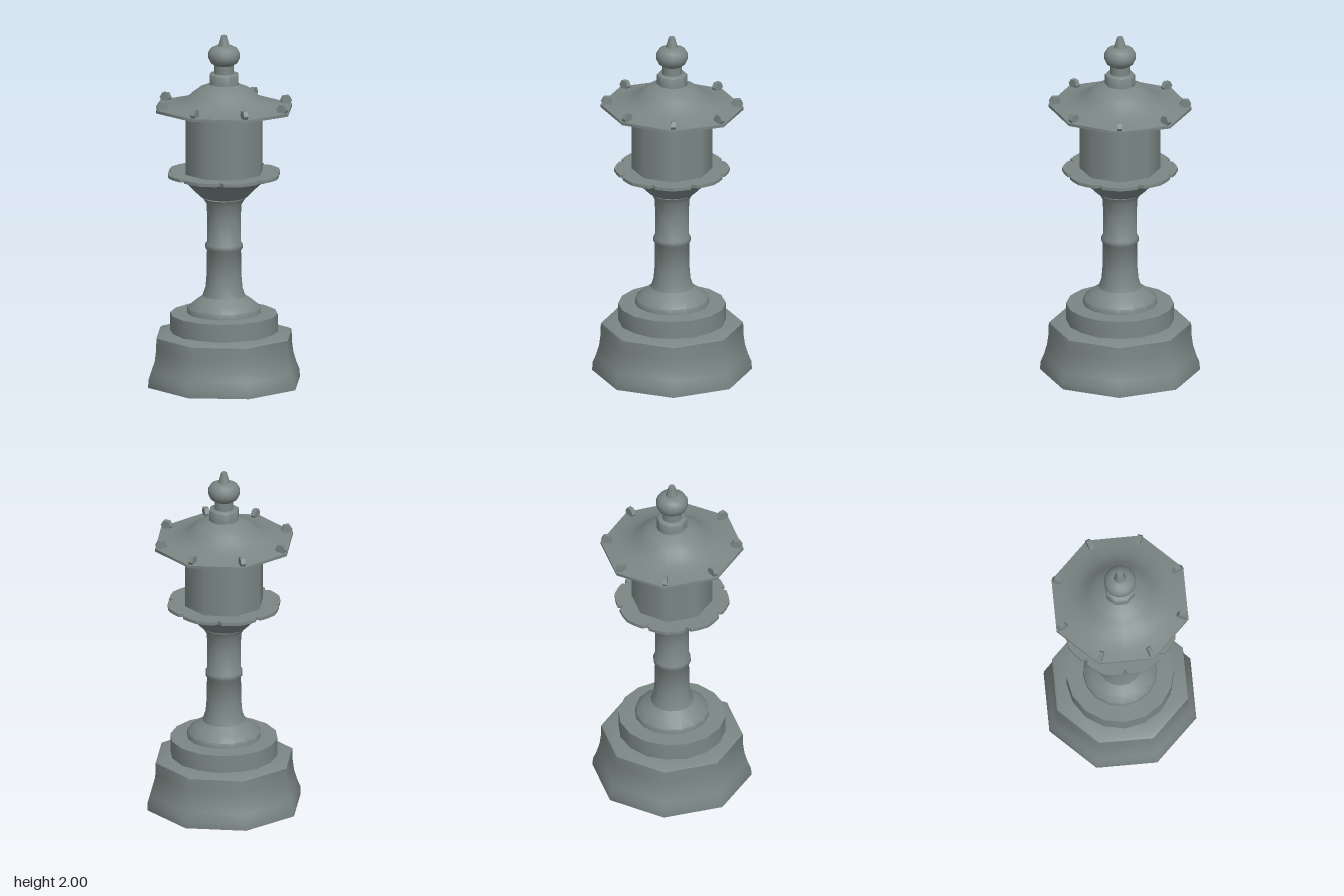
import * as THREE from 'three';
import { toCreasedNormals } from 'three/addons/utils/BufferGeometryUtils.js';

const TURN = -11.5 * Math.PI / 180; // direction of the first octagon corner
const EIGHTH = Math.PI / 4;

export function createModel() {
  const group = new THREE.Group();
  const stone = new THREE.MeshStandardMaterial({ color: 0x7b8785, side: THREE.DoubleSide });
  stone.name = 'greyStone';

  const add = (name, geometry, parent = group) => {
    const mesh = new THREE.Mesh(geometry, stone);
    mesh.name = name;
    parent.add(mesh);
    return mesh;
  };
  // Turned part from [radius, height] pairs, listed bottom to top
  const turned = (profile, sides) => new THREE.LatheGeometry(
    profile.map(([r, y]) => new THREE.Vector2(r, y)), sides, TURN);
  const creased = (geometry) => toCreasedNormals(geometry, 0.85);

  // Hollow flared octagonal base, open underneath
  add('base', creased(turned([
    [0.449, 0], [0.447, 0.045], [0.428, 0.09], [0.41, 0.15], [0.402, 0.21],
    [0.4, 0.28], [0.385, 0.288], [0.305, 0.3]], 8)));

  // Round steps on the base
  add('lowerStep', creased(turned([[0.303, 0.295], [0.303, 0.4], [0.21, 0.405]], 16)));
  add('upperStep', creased(turned([
    [0.21, 0.4], [0.207, 0.435], [0.165, 0.47], [0.13, 0.495], [0.118, 0.505]], 16)));

  // Column with a slim band at mid-height
  add('column', creased(turned([
    [0.122, 0.5], [0.105, 0.55], [0.099, 0.62], [0.097, 0.765], [0.106, 0.775],
    [0.106, 0.8], [0.097, 0.812], [0.095, 0.95], [0.1, 1.03], [0.122, 1.065]], 16)));

  // Bowl carrying the petal plate
  add('bowl', creased(turned([
    [0.1, 1.065], [0.135, 1.075], [0.175, 1.115], [0.215, 1.155],
    [0.255, 1.178], [0.295, 1.195]], 16)));

  // Scalloped plate with eight petals
  const petals = [];
  const polar = (r, t) => petals.push(new THREE.Vector2(r * Math.sin(t), -r * Math.cos(t)));
  for (let i = 0; i < 8; i++) {
    const t = TURN + i * EIGHTH;
    polar(0.285, t - EIGHTH / 2);
    polar(0.313, t - EIGHTH * 0.42);
    polar(0.318, t - EIGHTH * 0.22);
    polar(0.325, t);
    polar(0.318, t + EIGHTH * 0.22);
    polar(0.313, t + EIGHTH * 0.42);
  }
  const plate = new THREE.ExtrudeGeometry(new THREE.Shape(petals), { depth: 0.018, bevelEnabled: false });
  plate.rotateX(-Math.PI / 2);
  add('petalPlate', plate).position.y = 1.195;

  // Octagonal lamp chamber
  add('lampChamber', turned([[0.228, 1.2], [0.228, 1.59]], 8));

  // Roof: round dome running out to an eight-cornered rim, very slightly tilted
  const roof = new THREE.Group();
  roof.name = 'roof';
  roof.position.y = 1.58;
  roof.rotation.set(-0.018, 0, -0.022);
  group.add(roof);
  const profile = [
    [0.1, 0.005], [0.24, 0], [0.403, -0.008], [0.403, 0.008], [0.355, 0.012], [0.3, 0.022],
    [0.25, 0.038], [0.21, 0.06], [0.175, 0.092], [0.14, 0.118], [0.085, 0.14]];
  const shell = turned(profile, 16);
  const pos = shell.attributes.position;
  for (let i = 0; i < pos.count; i++) {
    const side = Math.floor(i / profile.length);
    if (side % 2 && profile[i % profile.length][0] > 0.36) {
      const k = Math.cos(EIGHTH / 2);
      pos.setX(i, pos.getX(i) * k);
      pos.setZ(i, pos.getZ(i) * k);
    }
  }
  add('roofShell', creased(shell), roof);

  // Hexagonal knobs on the roof corners
  const knob = new THREE.CylinderGeometry(0.032, 0.032, 0.026, 6).toNonIndexed();
  knob.rotateZ(Math.PI / 2);
  knob.computeVertexNormals();
  for (let i = 0; i < 8; i++) {
    const t = TURN + i * EIGHTH;
    const mesh = add('roofKnob', knob, roof);
    mesh.position.set(0.367 * Math.sin(t), 0.027, 0.367 * Math.cos(t));
    mesh.rotation.y = t;
  }

  // Finial: octagonal block, neck, flattened ball and tip
  add('finialBlock', creased(turned([
    [0.087, 1.7], [0.087, 1.775], [0.08, 1.782], [0, 1.782]], 8)));
  add('finialNeck', turned([[0.055, 1.775], [0.055, 1.84]], 16));
  add('finialBall', creased(turned([
    [0.05, 1.826], [0.078, 1.845], [0.091, 1.872], [0.091, 1.9],
    [0.076, 1.925], [0.05, 1.938], [0, 1.944]], 16)));
  add('finialTip', creased(turned([[0.035, 1.935], [0.017, 2], [0, 2]], 12)));

  return group;
}
